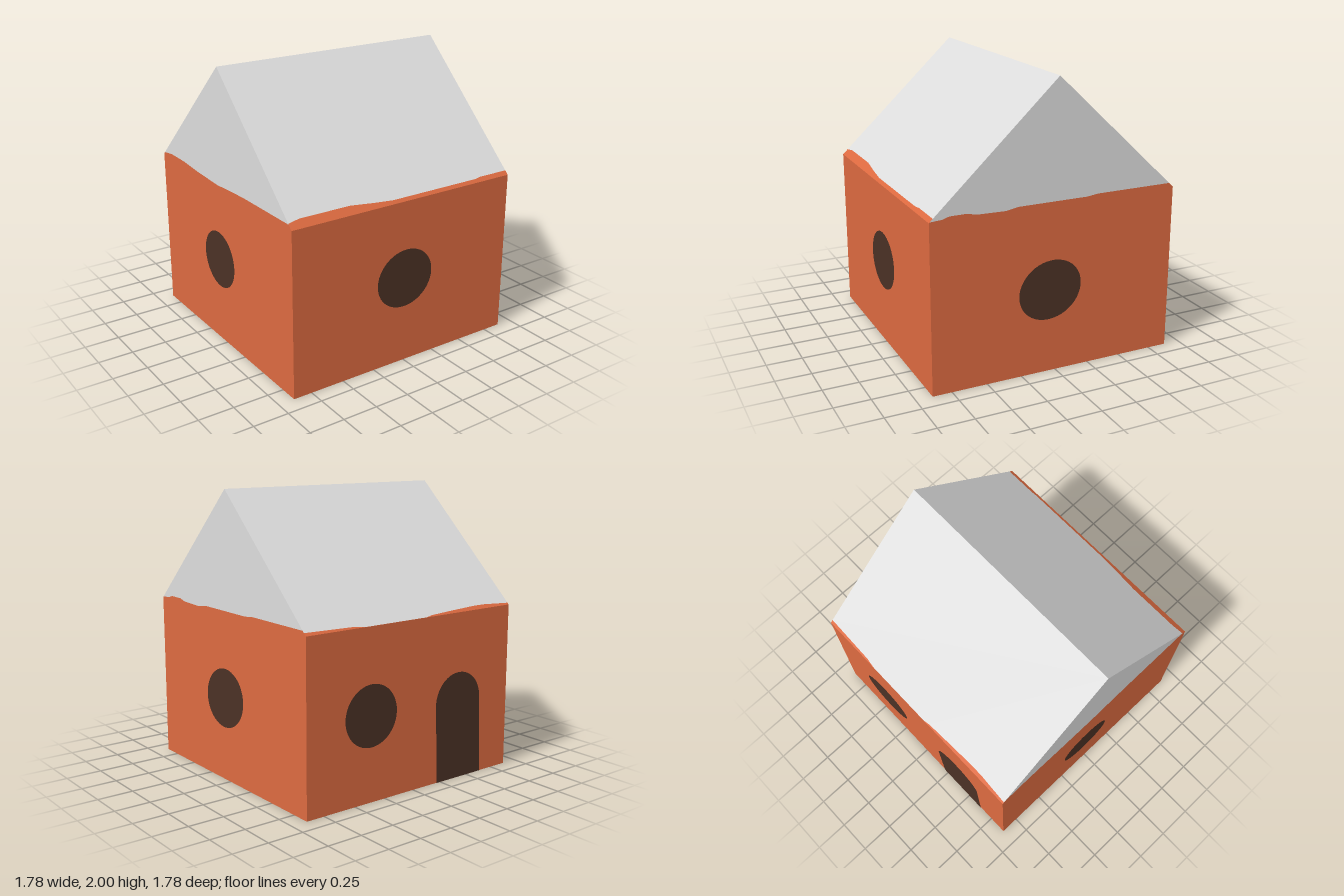
import * as THREE from 'three';

const HALF = 0.885; // half width of the square plan
const EAVE = 1.17;
const RIDGE = 2;

export function createModel() {
  const material = (name, color) => {
    const m = new THREE.MeshStandardMaterial({ color });
    m.name = name;
    return m;
  };
  const brick = material('orange wall', 0xdc6a40);
  const snow = material('pale roof', 0xdcdcdc);
  const dark = material('dark opening', 0x4b3125);

  const house = new THREE.Group();
  house.name = 'house';

  // Flat panel from outline points; slope panels lean back toward the ridge
  const panel = (name, points, mat, leaning = false) => {
    const shape = new THREE.Shape(points.map(([x, y]) => new THREE.Vector2(x, y)));
    const geo = new THREE.ShapeGeometry(shape);
    const pos = geo.attributes.position;
    for (let i = 0; i < pos.count; i++) {
      const back = leaning ? ((pos.getY(i) - EAVE) * HALF) / (RIDGE - EAVE) : 0;
      pos.setZ(i, HALF - back);
    }
    geo.computeVertexNormals();
    const mesh = new THREE.Mesh(geo, mat);
    mesh.name = name;
    return mesh;
  };

  // Thin painted opening just proud of the wall
  const opening = (name, shape) => {
    const mesh = new THREE.Mesh(new THREE.ShapeGeometry(shape, 24), dark);
    mesh.name = name;
    mesh.position.z = HALF + 0.003;
    return mesh;
  };
  const roundWindow = (x, y, rx, ry, tilt = 0) =>
    opening('roundWindow', new THREE.Shape().absellipse(x, y, rx, ry, 0, Math.PI * 2, false, tilt));

  // Each side is built facing +z, then turned into place
  const side = (name, turns, ...parts) => {
    const group = new THREE.Group();
    group.name = name;
    group.rotation.y = (turns * Math.PI) / 2;
    group.add(...parts);
    house.add(group);
  };

  // Square wall under a roof slope; line is the uneven lower edge of the roof colour
  const eaveSide = (line) => [
    panel('wall', [[-HALF, 0], [HALF, 0], [HALF, EAVE], [-HALF, EAVE]], brick),
    panel('wallTopStrip', [[-HALF, EAVE], [HALF, EAVE], ...[...line].reverse()], brick, true),
    panel('roofSlope', [...line, [HALF, RIDGE], [-HALF, RIDGE]], snow, true),
  ];

  // Gable wall with the triangular upper part in the roof colour
  const gableSide = (line) => [
    panel('gableWall', [[-HALF, 0], [HALF, 0], [HALF, EAVE], ...[...line].reverse(), [-HALF, EAVE]], brick),
    panel('gableTop', [...line, [0, RIDGE]], snow),
  ];

  side('frontSide', 0,
    ...eaveSide([[-HALF, 1.205], [-0.8, 1.215], [-0.42, 1.215], [-0.25, 1.2], [-0.1, 1.19],
      [0.6, 1.19], [0.65, 1.195], [HALF, 1.195]]),
    roundWindow(-0.005, 0.62, 0.226, 0.207, 0.1));

  side('leftGable', 1,
    ...gableSide([[-0.88, 1.175], [-0.8, 1.18], [-0.75, 1.195], [-0.63, 1.195], [-0.57, 1.18],
      [-0.37, 1.175], [-0.28, 1.19], [0.22, 1.19], [0.3, 1.2], [0.853, 1.2]]),
    roundWindow(-0.045, 0.585, 0.23, 0.205, 0.3));

  // Arched door, leaning slightly
  const door = new THREE.Shape([[0.217, 0], [0.632, 0], [0.61, 0.55]].map((p) => new THREE.Vector2(...p)));
  door.absellipse(0.403, 0.55, 0.207, 0.205, 0, Math.PI, false);
  side('backSide', 2,
    ...eaveSide([[-HALF, 1.188], [-0.5, 1.18], [-0.42, 1.1705], [0.1, 1.1705], [0.15, 1.178],
      [0.3, 1.184], [0.55, 1.193], [0.65, 1.193], [HALF, 1.181]]),
    roundWindow(-0.37, 0.585, 0.214, 0.21),
    opening('archedDoor', door));

  side('rightGable', 3,
    ...gableSide([[-0.87, 1.184], [-0.75, 1.2], [-0.55, 1.2], [-0.35, 1.185], [-0.05, 1.175],
      [0.1, 1.185], [0.3, 1.195], [0.853, 1.2]]),
    roundWindow(-0.06, 0.625, 0.207, 0.205));

  // Underside
  const floor = new THREE.Mesh(new THREE.PlaneGeometry(HALF * 2, HALF * 2), brick);
  floor.name = 'floor';
  floor.rotation.x = Math.PI / 2;
  house.add(floor);

  return house;
}
